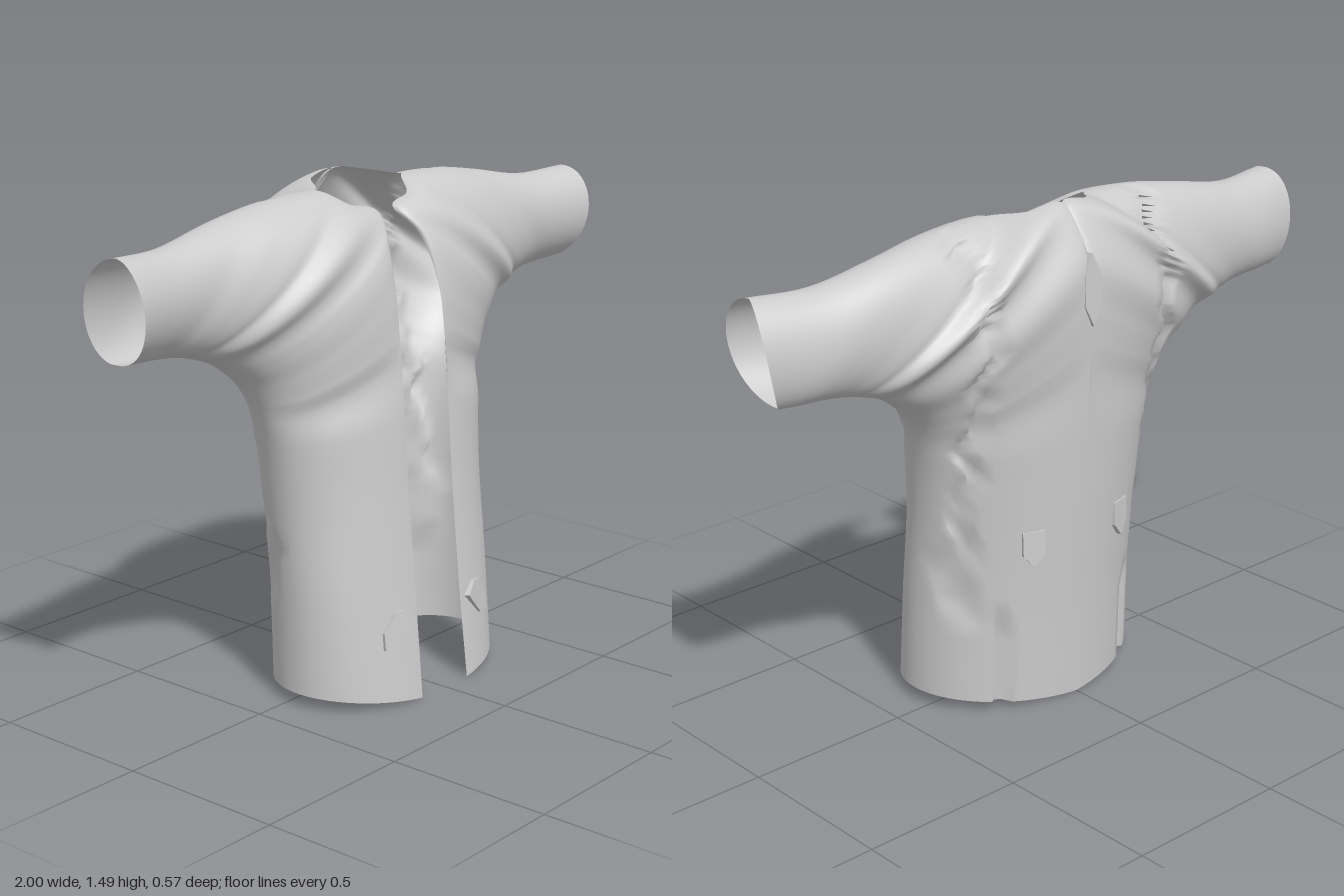
import * as THREE from 'three';
import { mergeVertices } from 'three/addons/utils/BufferGeometryUtils.js';

const curve = (pts) => new THREE.CatmullRomCurve3(pts.map((p) => new THREE.Vector3(...p)));

// Stations run from the hem up the body, then fan out along the sleeve to the cuff.
const CLOSED = 9; // from this station on, front and back meet along the shoulder
const shoulder = [[0.19, 1.475, -0.05], [0.38, 1.468, -0.06], [0.56, 1.44, -0.07], [0.78, 1.4, -0.055], [0.975, 1.405, -0.03]];

// Side seam: hem, waist, armpit, underside of the sleeve
const outer = curve([
  [0.39, 0.05, 0.05], [0.39, 0.35, 0.04], [0.395, 0.6, 0.01], [0.418, 0.79, -0.01], [0.45, 0.9, -0.03],
  [0.49, 0.965, -0.05], [0.54, 1.01, -0.06], [0.6, 1.05, -0.07], [0.65, 1.07, -0.075], [0.7, 1.085, -0.08],
  [0.76, 1.097, -0.08], [0.82, 1.103, -0.08], [0.88, 1.106, -0.08], [0.935, 1.11, -0.08]]);

// Front opening, front neckline, shoulder
const frontEdge = curve([
  [0.105, 0.01, 0.28], [0.1, 0.3, 0.25], [0.1, 0.6, 0.222], [0.1, 0.85, 0.203], [0.1, 1.05, 0.187],
  [0.095, 1.2, 0.165], [0.075, 1.33, 0.115], [0.04, 1.41, 0.04], [0.13, 1.435, 0.02], ...shoulder]);

// Centre of the back, back neckline, shoulder
const backEdge = curve([
  [0, 0.01, -0.23], [0, 0.3, -0.24], [0, 0.6, -0.255], [0, 0.85, -0.266], [0, 1.1, -0.276],
  [0, 1.25, -0.276], [0, 1.37, -0.255], [0, 1.5, -0.155], [0.11, 1.49, -0.135], ...shoulder]);

// Extra fullness of each section: front, back
const fullness = curve([
  [0, 0, 0], [0, 0, 0], [0, 0, 0], [0, 0, 0], [0, 0, 0], [0.02, 0.01, 0], [0.06, 0.04, 0], [0.11, 0.1, 0],
  [0.13, 0.13, 0], [0.15, 0.15, 0], [0.135, 0.125, 0], [0.12, 0.105, 0], [0.11, 0.1, 0], [0.11, 0.095, 0]]);

const STATIONS = 13, SUB = 6, ROWS = STATIONS * SUB, COLS = 32;

// Depth of the ragged crease beside the back panel
function crease(x, y) {
  const jag = 0.012 * Math.sin(y * 31) + 0.008 * Math.sin(y * 53 + 1);
  const line = y < 0.32 ? 0.24 : 0.345 + jag;
  const width = y > 0.32 && y < 0.55 ? 0.04 : 0.022;
  const d = Math.abs(x - line) / width;
  return d < 1 ? 0.028 * (1 - d * d) : 0;
}

function sheetPoint(row, col, back) {
  const t = row / ROWS;
  const o = outer.getPoint(t);
  const i = (back ? backEdge : frontEdge).getPoint(t);
  if (row >= CLOSED * SUB) i.lerpVectors(frontEdge.getPoint(t), backEdge.getPoint(t), 0.5);
  const h = fullness.getPoint(t);
  const s = (1 - Math.cos((Math.PI * col) / COLS)) / 2;
  const round = Math.sqrt(Math.max(0, 1 - (1 - s) ** 2));
  const bulge = Math.sqrt(Math.max(0, 4 * s * (1 - s)));
  const p = new THREE.Vector3().lerpVectors(o, i, s);
  p.z = o.z + (i.z - o.z) * round + (back ? -h.y : h.x) * bulge;
  if (back && col > 0 && col < COLS) p.z += crease(p.x, p.y);
  // The cuff swells outward, more at the back
  const cuff = Math.max(0, (row / SUB - 11) / 2);
  p.x += cuff * cuff * bulge * (back ? 0.042 : 0.02);
  return p;
}

function shellGeometry() {
  const pos = [], idx = [];
  for (const side of [1, -1]) {
    for (const back of [false, true]) {
      const base = pos.length / 3, w = COLS + 1;
      for (let r = 0; r <= ROWS; r++) {
        for (let c = 0; c <= COLS; c++) {
          const p = sheetPoint(r, c, back);
          pos.push(p.x * side, p.y, p.z);
        }
      }
      const flip = back !== (side < 0);
      for (let r = 0; r < ROWS; r++) {
        for (let c = 0; c < COLS; c++) {
          const a = base + r * w + c, b = a + 1, d = a + w, e = d + 1;
          if (flip) idx.push(a, b, d, b, e, d);
          else idx.push(a, d, b, b, d, e);
        }
      }
    }
  }
  const geo = new THREE.BufferGeometry();
  geo.setAttribute('position', new THREE.Float32BufferAttribute(pos, 3));
  geo.setIndex(idx);
  const merged = mergeVertices(geo, 1e-4); // weld seams for smooth shading
  merged.computeVertexNormals();
  return merged;
}

// Small flat tab cut from a polygon, centred in depth
function tab(name, points, depth, material, position, rotation) {
  const shape = new THREE.Shape(points.map(([x, y]) => new THREE.Vector2(x, y)));
  const geo = new THREE.ExtrudeGeometry(shape, { depth, bevelEnabled: false });
  geo.translate(0, 0, -depth / 2);
  const mesh = new THREE.Mesh(geo, material);
  mesh.name = name;
  mesh.position.set(...position);
  mesh.rotation.set(...rotation);
  return mesh;
}

export function createModel() {
  const group = new THREE.Group();
  group.name = 'openJacket';
  const material = new THREE.MeshStandardMaterial({ color: 0xcccccc, side: THREE.DoubleSide });

  const shell = new THREE.Mesh(shellGeometry(), material);
  shell.name = 'jacketShell';
  group.add(shell);

  // Hem tabs at the front and pointed tabs on the back
  for (const s of [1, -1]) {
    const label = s > 0 ? 'left' : 'right';
    const flap = [[-0.06, 0.02], [-0.02, 0.055], [0.01, 0.055], [0.055, 0], [0.055, -0.05], [0.01, -0.05]];
    group.add(tab(label + 'FrontTab', flap.map(([x, y]) => [x * s, y]), 0.022, material,
      [0.18 * s, 0.235, 0.248], [-0.1, 0.25 * s, 0]));
    const point = [[-0.035, 0.05], [0.035, 0.05], [0.035, -0.02], [0, -0.06], [-0.035, -0.02]];
    group.add(tab(label + 'BackTab', point, 0.02, material,
      [0.17 * s, 0.53, -0.224], [0.04, -0.3 * s, 0]));
  }

  // Pointed tab below the back of the neck
  group.add(tab('neckTab', [[0, 0.1], [0.03, 0.04], [0.03, -0.05], [0, -0.11], [-0.03, -0.05], [-0.03, 0.04]],
    0.025, material, [0, 1.28, -0.271], [0.05, 0, 0]));
  return group;
}
